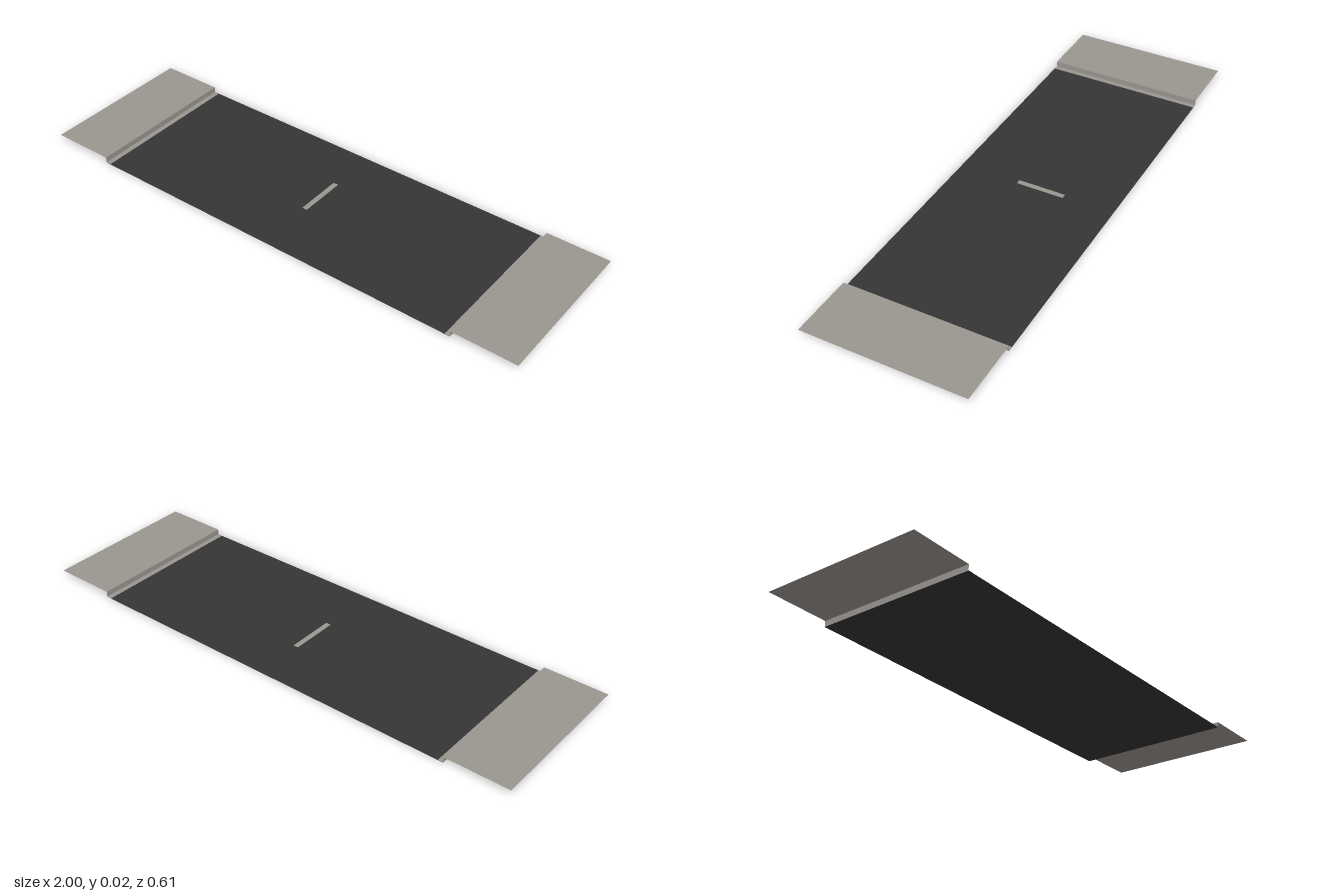
import * as THREE from 'three';

const HEIGHT = 0.022;   // height of the end flaps above the panel
const DEPTH = 0.61;
const STEP_X = 0.757;   // where the flaps step down to the panel

export function createModel() {
  const group = new THREE.Group();
  const dark = new THREE.MeshStandardMaterial({ color: 0x353535, side: THREE.DoubleSide });
  dark.name = 'dark grey';
  const light = new THREE.MeshStandardMaterial({ color: 0x9a958f, side: THREE.DoubleSide });
  light.name = 'warm grey';

  // Flat sheet facing up, spanning x0..x1 and z0..z1
  function sheet(name, material, x0, x1, z0, z1, y) {
    const geometry = new THREE.PlaneGeometry(x1 - x0, z1 - z0).rotateX(-Math.PI / 2);
    const mesh = new THREE.Mesh(geometry, material);
    mesh.name = name;
    mesh.position.set((x0 + x1) / 2, y, (z0 + z1) / 2);
    group.add(mesh);
  }

  // Sunken centre panel with its slim marker
  const h = DEPTH / 2;
  sheet('centrePanel', dark, -STEP_X, STEP_X, -h, h, 0);
  sheet('centreMarker', light, -0.01, 0.01, -0.11, 0.075, 0.0006);

  // Z-shaped end brackets: raised flap, riser and narrow lower flange
  for (const [side, s] of [['left', 1], ['right', -1]]) {
    const span = (a, b) => (s > 0 ? [a, b] : [-b, -a]);
    sheet(side + 'Flap', light, ...span(STEP_X, 1), -h, h, HEIGHT);
    sheet(side + 'Flange', light, ...span(0.737, STEP_X), -h, h, 0.0006);

    const riser = new THREE.Mesh(new THREE.PlaneGeometry(DEPTH, HEIGHT), light);
    riser.name = side + 'Riser';
    riser.rotation.y = s * Math.PI / 2;
    riser.position.set(s * STEP_X, HEIGHT / 2, 0);
    group.add(riser);
  }
  return group;
}
